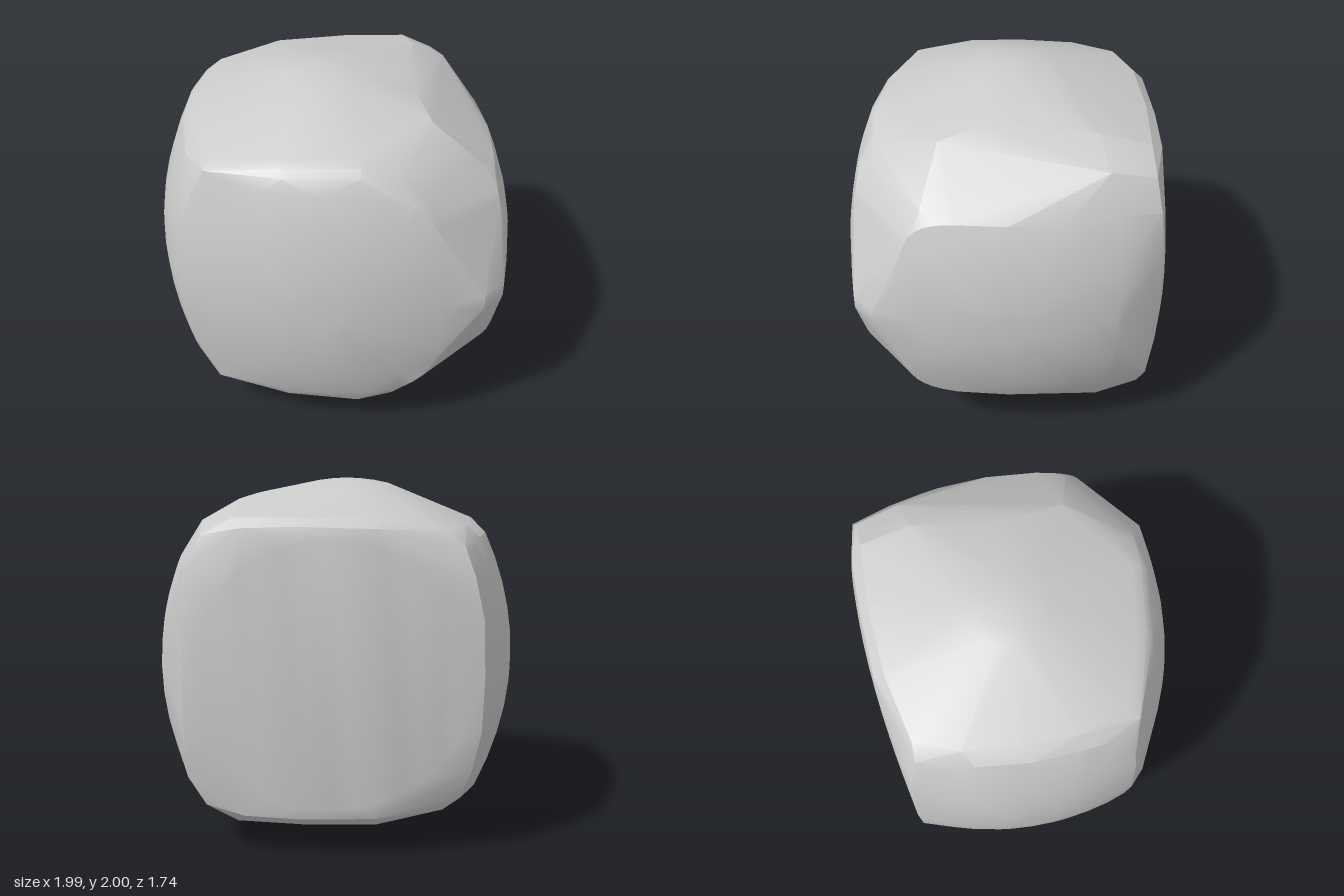
import * as THREE from 'three';
import { ConvexGeometry } from 'three/addons/geometries/ConvexGeometry.js';
import { mergeVertices, toCreasedNormals } from 'three/addons/utils/BufferGeometryUtils.js';

export function createModel() {
  const points = [];

  // adds a point and its mirror image across the horizontal middle plane
  const add = (x, dy, z) => {
    points.push(new THREE.Vector3(x, 1 + dy, z));
    if (dy > 1e-6) points.push(new THREE.Vector3(x, 1 - dy, z));
  };

  // fills a rounded-square patch: rings of (u, dy), placed in space by a rule
  const patch = (center, halfU, halfY, power, rings, place) => {
    const segments = 18;
    for (const s of rings) {
      for (let i = 0; i <= segments; i++) {
        const t = (i / segments) * Math.PI;
        const c = Math.cos(t), n = Math.sin(t);
        const u = center + s * halfU * Math.sign(c) * Math.abs(c) ** (2 / power);
        const dy = s * halfY * Math.max(n, 0) ** (2 / power);
        add(...place(u, dy < 1e-4 ? 0 : dy));
      }
    }
  };
  const rings = [0.2, 0.4, 0.6, 0.8, 1];

  // left and right in plan: bulging side faces
  const rightX = (dy, z) => 1 - z * z / 3.8 - dy * dy / 2.8;
  patch(-0.06, 0.58, 0.7, 5, rings, (z, dy) => [-1 + ((z + 0.06) ** 2 + dy * dy) / 3.05, dy, z]);
  patch(-0.04, 0.57, 0.6, 5, rings, (z, dy) => [rightX(dy, z), dy, z]);

  // front face: stronger curve toward -x
  patch(-0.12, 0.66, 0.68, 4, rings, (x, dy) =>
    [x, dy, 0.87 - (x < 0.1 ? 0.36 : 0.19) * (x - 0.1) ** 2 - dy * dy / 4.2]);

  // back face: a round panel, curved only sideways
  patch(-0.07, 0.74, 0.72, 2, [1], (x, dy) =>
    [x, dy, -0.83 - 0.075 * x + (x < 0 ? 0.09 : 0.015) * x * x]);

  // shallow domes on the top and bottom
  add(-0.05, 1, -0.06);
  for (const r of [0.08, 0.16, 0.24]) {
    for (let i = 0; i < 20; i++) {
      const t = (i / 20) * Math.PI * 2;
      add(-0.05 + r * Math.cos(t), 1 - r * r * 0.52, -0.06 + r * Math.sin(t));
    }
  }

  // rounded rims: [x, distance from middle, z]
  const frontRim = [
    [-0.7, 0.72, 0.53], [-0.65, 0.76, 0.47],
    [-0.3, 0.75, 0.67], [-0.3, 0.785, 0.635], [-0.3, 0.81, 0.58],
    [0.1, 0.77, 0.72], [0.1, 0.805, 0.685], [0.1, 0.83, 0.63],
    [0.3, 0.75, 0.69], [0.3, 0.81, 0.57], [0.42, 0.66, 0.7], [0.6, 0.42, 0.73],
  ];
  const backRim = [
    [-0.86, 0, -0.7], [-0.85, 0.3, -0.69], [-0.8, 0.52, -0.68], [-0.74, 0.68, -0.64],
    [-0.65, 0.75, -0.64], [-0.3, 0.77, -0.785], [-0.3, 0.82, -0.73],
    [0.1, 0.78, -0.82], [0.1, 0.825, -0.77], [0.4, 0.77, -0.83], [0.45, 0.82, -0.77],
    [0.62, 0.73, -0.79], [0.71, 0.57, -0.82], [0.72, 0.3, -0.85], [0.72, 0, -0.86],
  ];
  const sideRim = [
    [-0.75, 0.77, -0.1], [-0.75, 0.765, 0.2], [-0.74, 0.76, -0.4],
    [-0.88, 0, 0.51], [-0.8, 0, 0.6],
  ];
  // slanted facets beside the right face, and the pointed front corner
  const facets = [
    [0.48, 0.9, -0.49], [0.43, 0.92, -0.3], [0.41, 0.925, -0.1], [0.44, 0.905, 0.12],
    [0.5, 0.855, 0.33], [0.78, 0.63, 0.41], [0.67, 0.79, -0.55],
    [0.89, 0.04, 0.68], [0.77, 0.04, 0.79],
  ];
  [...frontRim, ...backRim, ...sideRim, ...facets].forEach((p) => add(...p));

  // sharp edge down the back of the right face
  for (const dy of [0, 0.15, 0.3, 0.45, 0.6]) {
    const z = -0.64 + 0.1 * dy * dy;
    add(rightX(dy, z), dy, z);
  }

  let geometry = new ConvexGeometry(points);
  geometry.deleteAttribute('normal');
  geometry = toCreasedNormals(mergeVertices(geometry, 1e-5), 0.38);

  const stone = new THREE.Mesh(geometry, new THREE.MeshStandardMaterial({ color: 0xcccccc }));
  stone.name = 'roundedStone';
  const group = new THREE.Group();
  group.name = 'stone';
  group.add(stone);
  return group;
}
